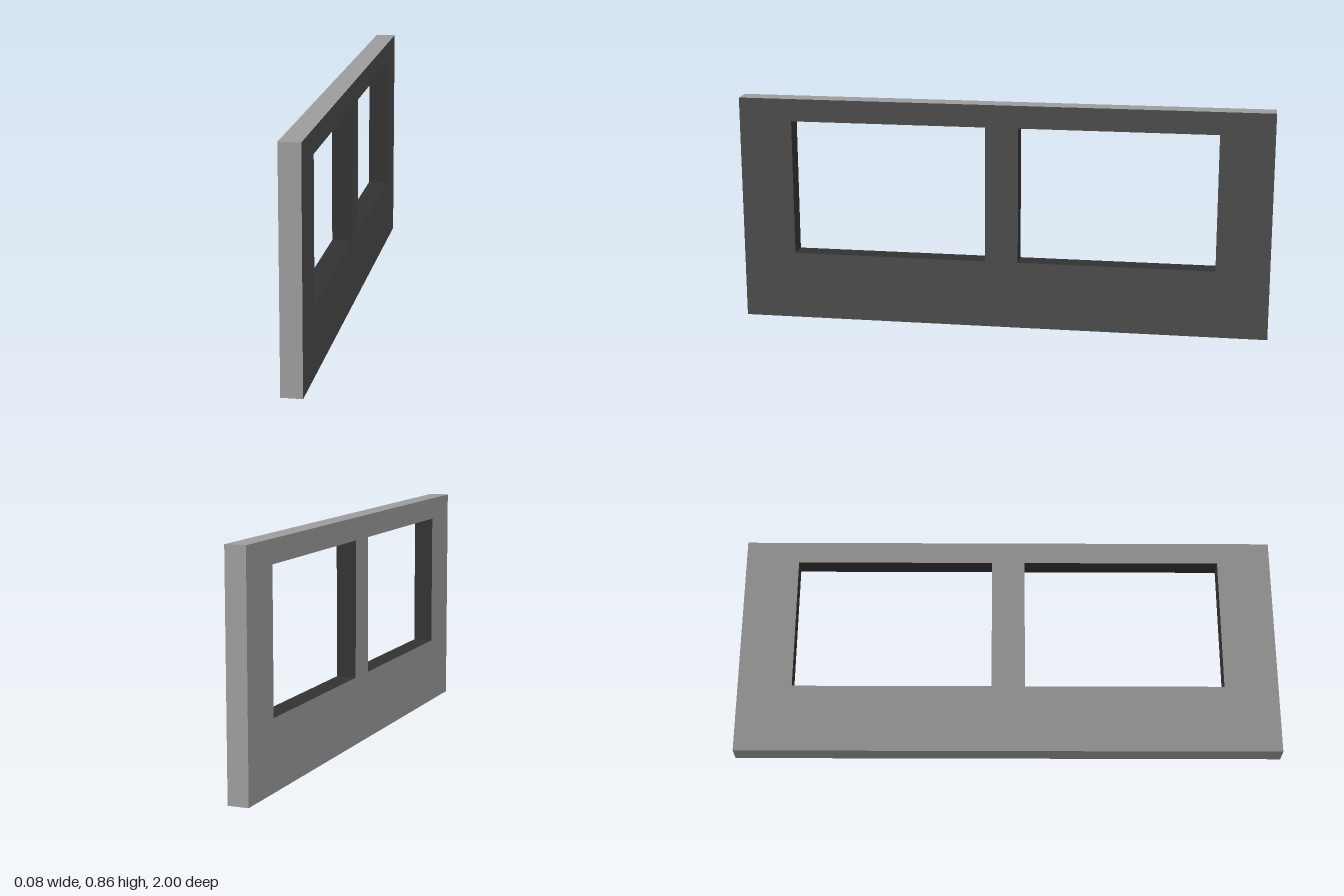
import * as THREE from 'three';

const LENGTH = 2, HEIGHT = 0.857, THICKNESS = 0.076;

// Adds a closed rectangle to a shape or hole path
function rectangle(path, x0, y0, x1, y1) {
  path.moveTo(x0, y0);
  path.lineTo(x1, y0);
  path.lineTo(x1, y1);
  path.lineTo(x0, y1);
  path.closePath();
  return path;
}

export function createModel() {
  const model = new THREE.Group();
  model.name = 'windowWall';

  // Wall outline with two mirrored window openings
  const outline = rectangle(new THREE.Shape(), -LENGTH / 2, 0, LENGTH / 2, HEIGHT);
  for (const side of [-1, 1]) {
    outline.holes.push(rectangle(new THREE.Path(), side * 0.062, 0.257, side * 0.8, 0.772));
  }

  // Extruded through its thickness and turned to run along z
  const geometry = new THREE.ExtrudeGeometry(outline, { depth: THICKNESS, bevelEnabled: false });
  geometry.translate(0, 0, -THICKNESS / 2);
  geometry.rotateY(-Math.PI / 2);

  // Surfaces in build order: +x face, -x face, four outer edges, window reveals
  const faceCount = geometry.groups[0].count / 2;
  const edgeCount = 4 * 6;
  const revealCount = 2 * edgeCount;
  const colors = [0x4b4b4b, 0x9c9c9c, 0x9c9c9c, 0x323232];
  let start = 0;
  geometry.clearGroups();
  [faceCount, faceCount, edgeCount, revealCount].forEach((count, i) => {
    geometry.addGroup(start, count, i);
    start += count;
  });

  const materials = colors.map((color) => new THREE.MeshStandardMaterial({ color }));
  const wall = new THREE.Mesh(geometry, materials);
  wall.name = 'wallPanel';
  model.add(wall);
  return model;
}
